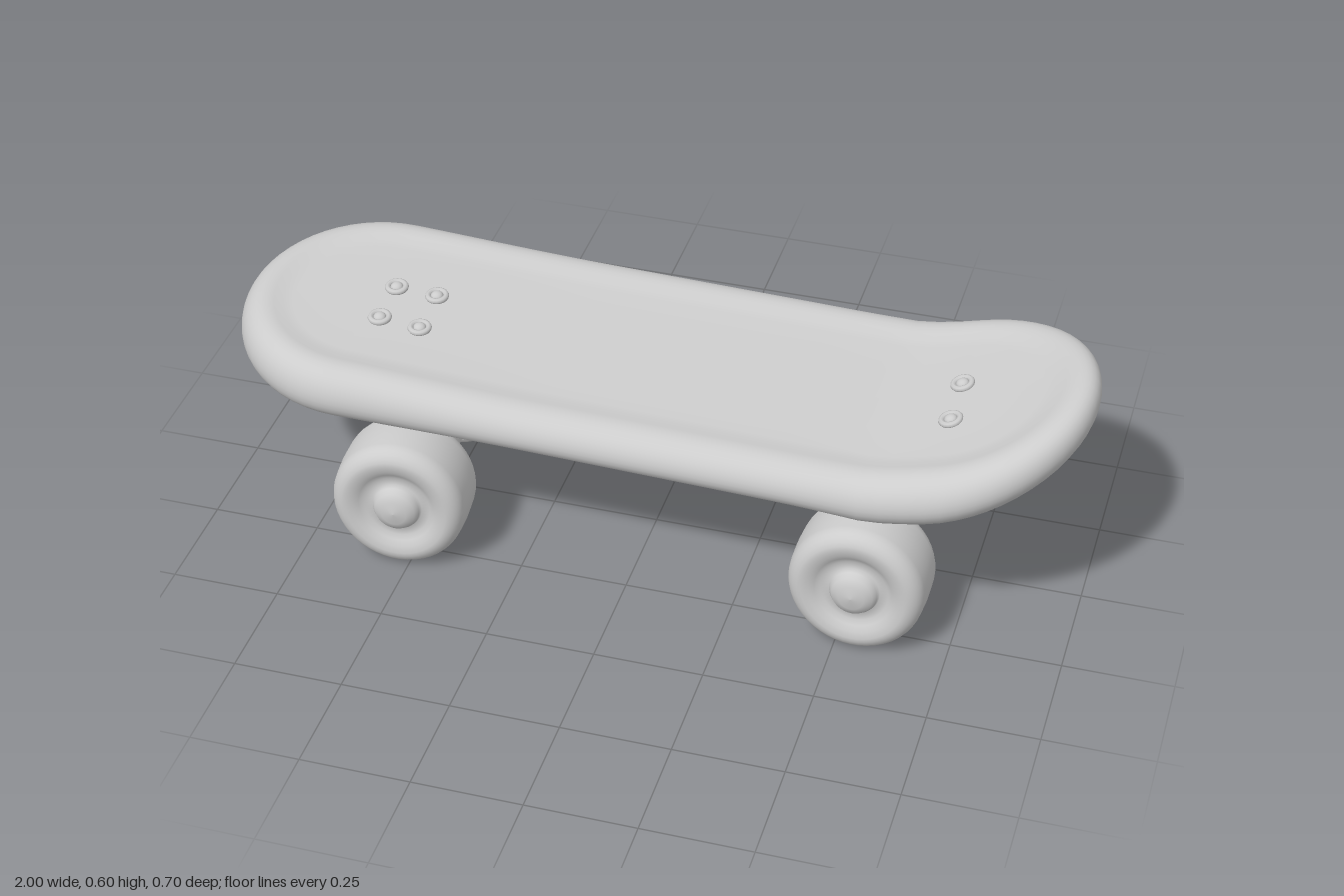
import * as THREE from 'three';
import { RoundedBoxGeometry } from 'three/addons/geometries/RoundedBoxGeometry.js';

const CORE = 0.685, RADIUS = 0.315, GRIP = 0.42;
const { smoothstep } = THREE.MathUtils;

// Middle height of the deck: sideways roll, and a kick at the +x end
function midY(x, z) {
  const kick = x > 0.54 ? 0.148 * Math.pow((x - 0.54) / 0.46, 1.35) : 0;
  return 0.414 - 0.075 * z + kick - 0.004 * smoothstep(x, 0.3, 0.7);
}
const thick = x => 0.114 + 0.028 * smoothstep(-x, 0.2, 0.85) + 0.022 * smoothstep(x, 0.35, 0.75);
const skew = x => -0.011 + 0.035 * x;

// Directions around a pill-shaped outline: [core x, cos, sin]
function pillOutline() {
  const pts = [], arc = 28, side = 28;
  for (const s of [1, -1]) {
    for (let i = 0; i <= arc; i++) {
      const a = -Math.PI / 2 + (Math.PI * i) / arc;
      pts.push([s * CORE, s * Math.cos(a), s * Math.sin(a)]);
    }
    for (let i = 1; i < side; i++) pts.push([s * CORE * (1 - (2 * i) / side), 0, s]);
  }
  return pts;
}

// Deck: rings from bottom centre, round the edge, to the gently dished top
function deckGeometry() {
  const profile = [[0, -0.5], [0.1, -0.5], [0.18, -0.5]];
  for (let i = 0; i <= 16; i++) {
    const a = -Math.PI / 2 + (Math.PI * i) / 16;
    const round = a < 0 ? 0.09 : 0.065;
    profile.push([RADIUS - round + round * Math.pow(Math.cos(a) + 1e-9, 0.9), 0.5 * Math.sin(a)]);
  }
  profile.push([0.235, 0.48], [0.215, 0.445], [0.19, GRIP], [0.1, GRIP], [0, GRIP]);
  const outline = pillOutline(), n = outline.length, pos = [], index = [];
  profile.forEach(([r, h], i) => {
    outline.forEach(([cx, c, s], j) => {
      const x = cx + r * c, z = r * s + skew(x);
      pos.push(x, midY(x, z) + h * thick(x), z);
      if (i === profile.length - 1) return;
      const a = i * n + j, b = i * n + ((j + 1) % n);
      index.push(a, a + n, b, b, a + n, b + n);
    });
  });
  const g = new THREE.BufferGeometry();
  g.setAttribute('position', new THREE.Float32BufferAttribute(pos, 3));
  g.setIndex(index);
  g.computeVertexNormals();
  return g;
}

// Wheel with rounded tread, dished outer face and domed axle nut, facing +z
function wheelGeometry() {
  const pts = [[0, -0.083], [0.06, -0.083], [0.115, -0.086]];
  const corner = (cy, from) => {
    for (let i = 0; i <= 6; i++) {
      const a = from + (i / 6) * (Math.PI / 2);
      pts.push([0.122 + 0.038 * Math.cos(a), cy + 0.04 * Math.sin(a)]);
    }
  };
  corner(-0.046, -Math.PI / 2);
  pts.push([0.162, 0]);
  corner(0.046, 0);
  pts.push([0.105, 0.083], [0.092, 0.075], [0.08, 0.068], [0.06, 0.066],
    [0.056, 0.076], [0.048, 0.088], [0.03, 0.097], [0, 0.101]);
  const g = new THREE.LatheGeometry(pts.map(p => new THREE.Vector2(...p)), 48);
  return g.rotateX(Math.PI / 2).scale(0.96, 1, 1);
}

export function createModel() {
  const model = new THREE.Group();
  model.name = 'skateboard';
  const grey = new THREE.MeshStandardMaterial({ color: 0xcccccc });
  grey.name = 'plain grey';

  function add(parent, name, geometry, x = 0, y = 0, z = 0) {
    const mesh = new THREE.Mesh(geometry, grey);
    mesh.name = name;
    mesh.position.set(x, y, z);
    parent.add(mesh);
    return mesh;
  }

  add(model, 'deck', deckGeometry());

  // Screw heads on the deck
  const screws = [[-0.65, -0.085], [-0.55, -0.08], [-0.65, 0.03], [-0.55, 0.04], [0.69, -0.04], [0.69, 0.085]];
  for (const [x, z] of screws) {
    const screw = new THREE.Group();
    screw.name = 'deckScrew';
    screw.position.set(x, midY(x, z) + GRIP * thick(x), z);
    screw.rotation.set(0.07, 0, x > 0 ? 0.28 : 0);
    add(screw, 'screwRim', new THREE.TorusGeometry(0.021, 0.007, 8, 20).rotateX(Math.PI / 2), 0, 0.004);
    add(screw, 'screwHead', new THREE.SphereGeometry(0.015, 14, 10).scale(1, 0.7, 1), 0, 0.004);
    model.add(screw);
  }

  const wheel = wheelGeometry();

  // Truck: base plate, nuts, hanger, axle and a pair of wheels
  function addTruck(name, x, z, yaw, plateZ) {
    const truck = new THREE.Group();
    truck.name = name;
    truck.position.set(x, 0, z);
    truck.rotation.y = yaw;

    add(truck, 'basePlate', new RoundedBoxGeometry(0.4, 0.06, 0.285, 2, 0.006), 0, 0.364, plateZ);
    add(truck, 'hangerBlock', new RoundedBoxGeometry(0.24, 0.09, 0.25, 3, 0.025), 0, 0.315, plateZ);
    for (const sx of [1, -1]) {
      for (const sz of [1, -1]) {
        const nut = new THREE.CapsuleGeometry(0.046, 0.04, 6, 16);
        add(truck, 'plateNut', nut, sx * 0.148, 0.328, plateZ + sz * 0.092);
      }
    }
    add(truck, 'kingpin', new THREE.CylinderGeometry(0.062, 0.055, 0.13, 20), 0, 0.265, 0);

    // Sloping arms joining the hanger to the axle
    for (const s of [1, -1]) {
      const arm = add(truck, 'hangerArm', new THREE.CapsuleGeometry(0.046, 0.06, 6, 16), s * 0.05, 0.26, 0);
      arm.rotation.z = -s * 0.55;
    }
    add(truck, 'axle', new THREE.CylinderGeometry(0.072, 0.072, 0.34, 28).rotateX(Math.PI / 2), 0, 0.163, 0);
    for (const s of [1, -1]) {
      const w = add(truck, s > 0 ? 'frontWheel' : 'backWheel', wheel, 0, 0.165, s * 0.23);
      if (s < 0) w.rotation.y = Math.PI;
    }
    model.add(truck);
  }
  addTruck('leftTruck', 0.55, 0.02, -0.03, 0.015);
  addTruck('rightTruck', -0.542, 0.017, 0.07, -0.015);

  return model;
}
